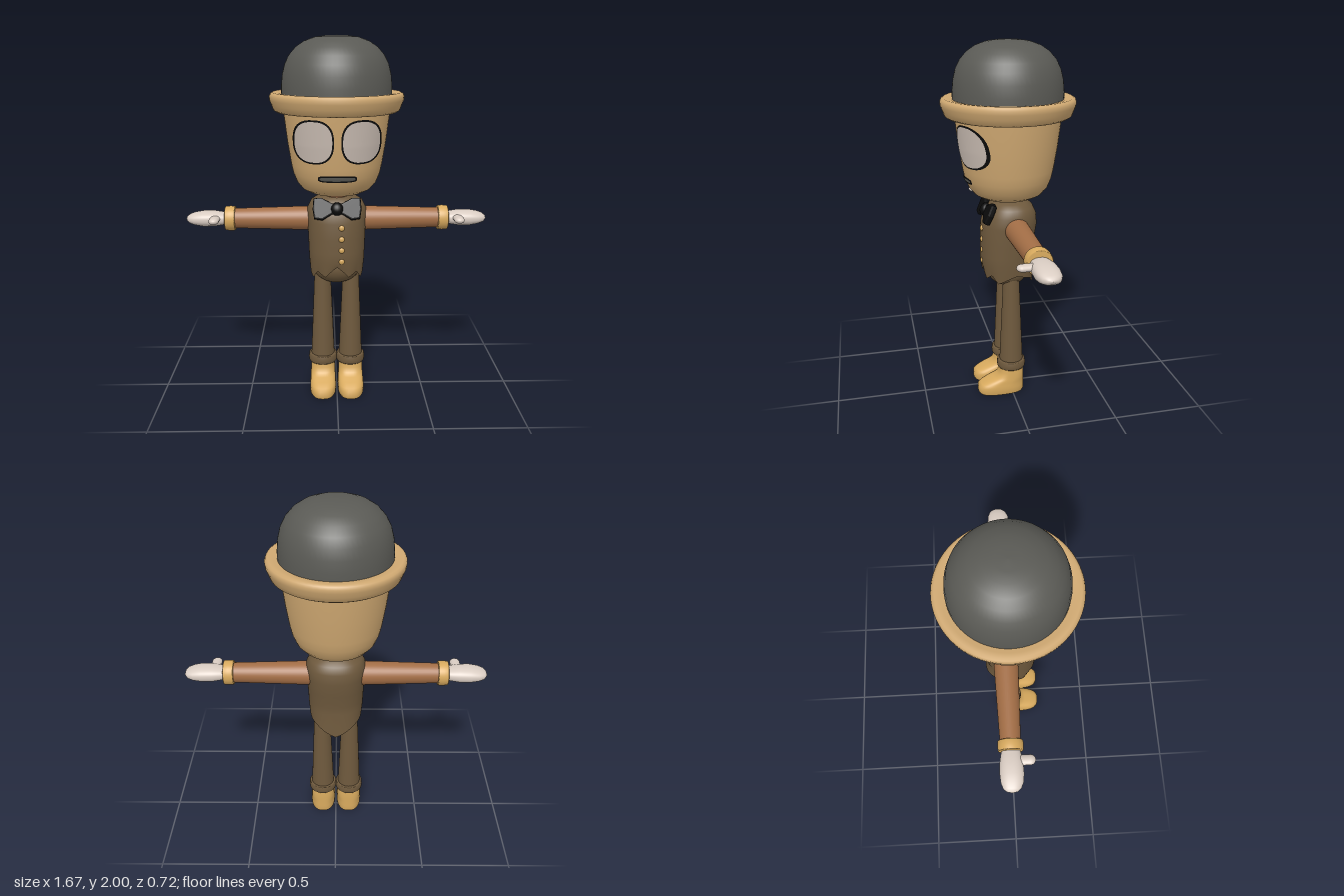
import * as THREE from 'three';

const mat = (name, color) => Object.assign(new THREE.MeshStandardMaterial({ color }), { name });

// Piecewise linear lookup in a list of [key, value]
function lookup(table, k) {
  for (let i = 1; i < table.length; i++) {
    const [a, va] = table[i - 1], [b, vb] = table[i];
    if (k <= b) return va + (vb - va) * (k - a) / (b - a);
  }
  return table[table.length - 1][1];
}

// Indexed grid of rows x segs points, closed around
function grid(rows, segs, point) {
  const pos = [], idx = [];
  for (let i = 0; i < rows; i++) {
    for (let j = 0; j < segs; j++) {
      pos.push(...point(i, j / segs * Math.PI * 2));
      if (i === 0) continue;
      const a = (i - 1) * segs + j, b = (i - 1) * segs + (j + 1) % segs;
      idx.push(a, b, b + segs, a, b + segs, a + segs);
    }
  }
  const g = new THREE.BufferGeometry();
  g.setAttribute('position', new THREE.Float32BufferAttribute(pos, 3));
  g.setIndex(idx);
  g.computeVertexNormals();
  return g;
}

const power = (v, e) => Math.sign(v) * Math.pow(Math.abs(v), 2 / e);

// Stack of superellipses [y, halfWidth, zFront, zBack]; an optional rule sets the lowest row's height
function loft(rings, e, hem, segs = 48) {
  return grid(rings.length, segs, (i, a) => {
    const [y, rx, zf, zb] = rings[i];
    return [rx * power(Math.sin(a), e), hem && i === 0 ? hem(a) : y,
      (zf + zb) / 2 + (zf - zb) / 2 * power(Math.cos(a), e)];
  });
}

const lathe = pts => new THREE.LatheGeometry(pts.map(p => new THREE.Vector2(...p)), 64);

const headProfile = [[0, 1.16], [0.09, 1.162], [0.14, 1.172], [0.185, 1.195], [0.215, 1.23],
  [0.235, 1.28], [0.246, 1.33], [0.265, 1.45], [0.283, 1.6], [0.286, 1.66]];
const headByHeight = headProfile.map(([r, y]) => [y, r]);

// Thin rounded patch that hugs the front of the head
function facePatch(cx, cy, rx, ry, e, lift) {
  return grid(9, 48, (i, a) => {
    const f = 1 - i / 8;
    const x = cx + rx * f * power(Math.cos(a), e), y = cy + ry * f * power(Math.sin(a), e);
    const r = lookup(headByHeight, y) + lift;
    return [x, y, Math.sqrt(r * r - x * x)];
  });
}

export function createModel() {
  const model = new THREE.Group();
  model.name = 'figure';
  const tan = mat('tan', 0xd0a972), gold = mat('gold', 0xd8aa5e), charcoal = mat('charcoal', 0x5a5a55);
  const vestBrown = mat('vestBrown', 0x6e593d), sleeveBrown = mat('sleeveBrown', 0xa36e46);
  const pale = mat('pale', 0xdacdc3), black = mat('black', 0x0b0b0b), eyeGrey = mat('eyeGrey', 0xcabdb3);
  vestBrown.side = THREE.DoubleSide;

  const add = (name, geo, material, parent = model, x = 0, y = 0, z = 0) => {
    const m = new THREE.Mesh(geo, material);
    m.name = name;
    m.position.set(x, y, z);
    parent.add(m);
    return m;
  };

  // Head and hat
  add('head', lathe(headProfile), tan);
  add('hatBrim', lathe([[0.27, 1.62], [0.29, 1.61], [0.32, 1.608], [0.336, 1.618], [0.346, 1.645],
    [0.356, 1.67], [0.358, 1.69], [0.352, 1.703], [0.34, 1.71], [0.315, 1.708], [0.28, 1.7]]), tan);
  add('hatCrown', lathe([[0.293, 1.69], [0.293, 1.74], [0.287, 1.8], [0.273, 1.855], [0.25, 1.9],
    [0.215, 1.94], [0.17, 1.97], [0.115, 1.99], [0.06, 1.998], [0, 2]]), charcoal);

  // Face
  for (const s of [1, -1]) {
    const side = s > 0 ? 'left' : 'right';
    add(side + 'EyeOutline', facePatch(s * 0.124, 1.475, 0.106, 0.114, 2.5, 0.004), black);
    add(side + 'Eye', facePatch(s * 0.124, 1.475, 0.097, 0.105, 2.5, 0.007), eyeGrey);
  }
  add('mouthOutline', facePatch(0, 1.283, 0.101, 0.018, 4, 0.004), black);
  add('mouth', facePatch(0, 1.283, 0.092, 0.01, 4, 0.007), charcoal);

  // Neck, vest with pointed hem, and hips
  add('neck', new THREE.CylinderGeometry(0.07, 0.075, 0.06, 32), sleeveBrown, model, 0, 1.15);
  const hemTable = [[0, 0.775], [0.4, 0.715], [0.75, 0.745], [1.05, 0.7], [1.7, 0.745], [2.4, 0.715], [Math.PI, 0.65]];
  const hem = a => lookup(hemTable, Math.min(a, Math.PI * 2 - a));
  add('vest', loft([[0.7, 0.147, 0.146, -0.135], [0.8, 0.153, 0.157, -0.125], [0.85, 0.155, 0.157, -0.128],
    [0.93, 0.158, 0.156, -0.14], [1.02, 0.162, 0.152, -0.155], [1.08, 0.162, 0.137, -0.15],
    [1.12, 0.142, 0.112, -0.132], [1.145, 0.105, 0.085, -0.1], [1.158, 0.06, 0.05, -0.06],
    [1.16, 0, 0, 0]], 2.3, hem, 96), vestBrown);
  add('hips', new THREE.SphereGeometry(1, 40, 24), vestBrown, model, 0, 0.755, 0.005).scale.set(0.138, 0.107, 0.12);

  // Buttons
  for (const y of [1.0, 0.937, 0.875, 0.812]) {
    add('button', new THREE.SphereGeometry(0.016, 16, 12), gold, model, 0.024, y, 0.153).scale.z = 0.6;
  }

  // Bow tie
  const bowTie = new THREE.Group();
  bowTie.name = 'bowTie';
  bowTie.position.set(0, 1.098, 0.122);
  bowTie.rotation.x = -0.4;
  model.add(bowTie);
  const half = [[0, 0.018], [0.03, 0.022], [0.085, 0.052], [0.118, 0.05], [0.122, 0], [0.115, -0.045],
    [0.08, -0.05], [0.03, -0.02], [0, -0.018]];
  const outline = [...half, ...half.slice(1, -1).reverse().map(([x, y]) => [-x, y])];
  const wings = new THREE.ExtrudeGeometry(new THREE.Shape(outline.map(p => new THREE.Vector2(...p))),
    { depth: 0.014, bevelThickness: 0.01, bevelSize: 0.009, bevelSegments: 3 });
  add('bowWings', wings, black, bowTie, 0, 0, -0.007);
  add('bowKnot', new THREE.SphereGeometry(1, 20, 14), black, bowTie, 0, 0, 0.008).scale.set(0.034, 0.036, 0.028);

  const handRings = [[0.6, 0.03, 0.045, -0.045], [0.64, 0.036, 0.055, -0.055], [0.68, 0.042, 0.062, -0.062],
    [0.74, 0.042, 0.064, -0.064], [0.785, 0.034, 0.058, -0.06], [0.815, 0.024, 0.044, -0.048],
    [0.83, 0.012, 0.024, -0.028], [0.835, 0, 0, 0]];
  const shoeRings = [[0, 0, 0.06, 0.06], [0, 0.066, 0.19, -0.065], [0, 0.066, 0.19, -0.065],
    [0.012, 0.074, 0.197, -0.07], [0.045, 0.075, 0.197, -0.07], [0.06, 0.073, 0.18, -0.07],
    [0.078, 0.072, 0.145, -0.07], [0.092, 0.071, 0.108, -0.07], [0.108, 0.07, 0.083, -0.07],
    [0.135, 0.069, 0.071, -0.07], [0.17, 0.067, 0.067, -0.067]];

  for (const s of [1, -1]) {
    const side = s > 0 ? 'left' : 'right';

    // Arm, built along its own y axis and turned outwards
    const arm = new THREE.Group();
    arm.name = side + 'Arm';
    arm.position.set(0, 1.015, -0.018);
    arm.rotation.z = -s * Math.PI / 2;
    model.add(arm);
    add('sleeve', new THREE.CylinderGeometry(0.055, 0.069, 0.5, 40), sleeveBrown, arm, 0, 0.33);
    add('sleeveCuff', lathe([[0, 0.562], [0.064, 0.562], [0.068, 0.566], [0.069, 0.59], [0.067, 0.615],
      [0.063, 0.619], [0, 0.619]]), gold, arm);
    add('hand', loft(handRings, 2.3), pale, arm);
    const thumb = add('thumb', new THREE.CapsuleGeometry(0.028, 0.08, 8, 20), pale, arm, -s * 0.008, 0.67, 0.06);
    thumb.rotation.x = Math.PI / 2;
    thumb.scale.x = 0.65;

    // Leg
    const leg = new THREE.Group();
    leg.name = side + 'Leg';
    leg.position.x = s * 0.08;
    model.add(leg);
    add('trouser', new THREE.CylinderGeometry(0.044, 0.067, 0.54, 40), vestBrown, leg, 0, 0.47);
    add('trouserCuff', lathe([[0, 0.158], [0.076, 0.158], [0.08, 0.163], [0.082, 0.18], [0.08, 0.202],
      [0.076, 0.207], [0, 0.207]]), vestBrown, leg);
    add('shoe', loft(shoeRings, 2.7), gold, leg);
  }
  return model;
}
